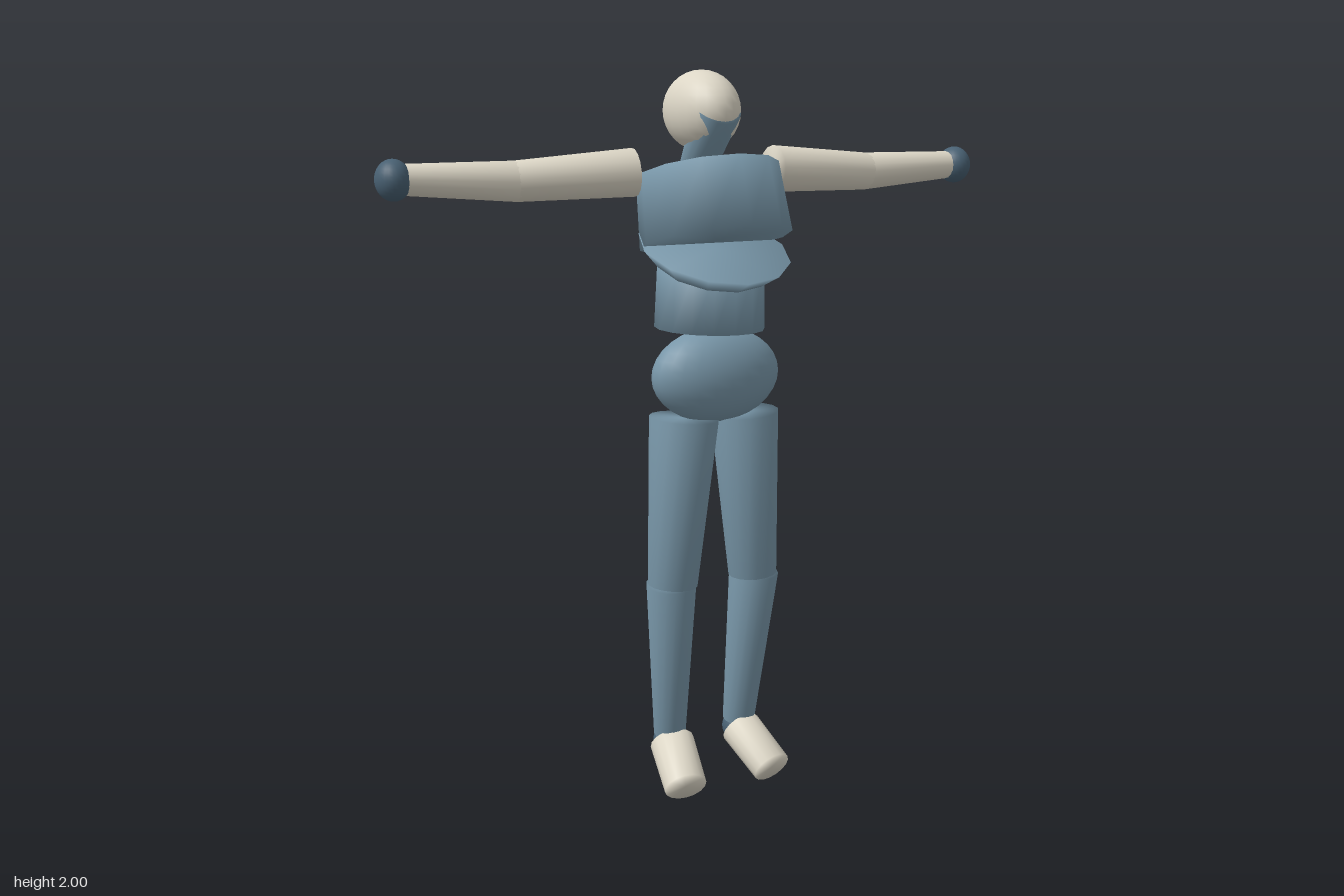
import * as THREE from 'three';
import { mergeVertices } from 'three/addons/utils/BufferGeometryUtils.js';

const flat = (name, color) => {
  const m = new THREE.MeshStandardMaterial({ color });
  m.name = name;
  return m;
};

// Share vertices so the shading runs smoothly over the rims
function smooth(geometry) {
  geometry.deleteAttribute('normal');
  geometry.deleteAttribute('uv');
  const g = mergeVertices(geometry, 1e-5);
  g.computeVertexNormals();
  return g;
}

export function createModel() {
  const model = new THREE.Group();
  const suit = flat('suit blue', 0x7896a8);
  const cream = flat('cream', 0xdcd6c6);
  const joint = flat('dark slate', 0x486072);

  const add = (name, geometry, material) => {
    const mesh = new THREE.Mesh(geometry, material);
    mesh.name = name;
    model.add(mesh);
    return mesh;
  };

  // Closed tapered limb running from point a to point b
  const limb = (name, a, b, ra, rb, material, sides = 16) => {
    const from = new THREE.Vector3(...a), to = new THREE.Vector3(...b);
    const axis = to.clone().sub(from);
    const mesh = add(name, smooth(new THREE.CylinderGeometry(rb, ra, axis.length(), sides)), material);
    mesh.position.copy(from).add(to).multiplyScalar(0.5);
    mesh.quaternion.setFromUnitVectors(new THREE.Vector3(0, 1, 0), axis.normalize());
    return mesh;
  };

  const ball = (name, centre, radii, material) => {
    const mesh = add(name, new THREE.SphereGeometry(1, 24, 16), material);
    mesh.position.set(...centre);
    mesh.scale.set(...radii);
    return mesh;
  };

  // Head and neck
  ball('head', [0, 1.894, -0.062], [0.093, 0.106, 0.142], cream);
  limb('neck', [0, 1.73, -0.1], [0, 1.9, 0.033], 0.047, 0.063, suit);

  // Torso, from the chest down
  limb('chest', [0, 1.557, 0.022], [0, 1.738, -0.029], 0.205, 0.192, suit, 12);
  limb('ribs', [0, 1.492, -0.003], [0, 1.537, 0.015], 0.16, 0.207, suit, 12);
  limb('waist', [-0.003, 1.32, -0.011], [0.001, 1.488, -0.009], 0.15, 0.145, suit);
  ball('pelvis', [0, 1.196, 0.02], [0.187, 0.13, 0.1], suit);

  for (const [side, s] of [['left', 1], ['right', -1]]) {
    // Arm
    limb(side + 'UpperArm', [s * 0.208, 1.738, -0.043], [s * 0.525, 1.722, -0.072], 0.063, 0.052, cream);
    limb(side + 'Forearm', [s * 0.52, 1.722, -0.072], [s * 0.81, 1.733, -0.078], 0.052, 0.039, cream);
    ball(side + 'Hand', [s * 0.839, 1.733, -0.078], [0.045, 0.052, 0.052], joint);

    // Leg
    limb(side + 'Thigh', [s * 0.093, 1.083, 0.013], [s * 0.126, 0.612, 0.005], 0.095, 0.069, suit);
    limb(side + 'Shin', [s * 0.13, 0.615, 0.005], [s * 0.112, 0.15, -0.049], 0.07, 0.046, suit);
    ball(side + 'Ankle', [s * 0.112, 0.125, -0.053], [0.046, 0.046, 0.046], joint);
    const foot = limb(side + 'Foot', [s * 0.112, 0.125, -0.034], [s * 0.138, 0.05, 0.105], 0.055, 0.052, cream);
    foot.scale.x = 1.15;
  }
  return model;
}
